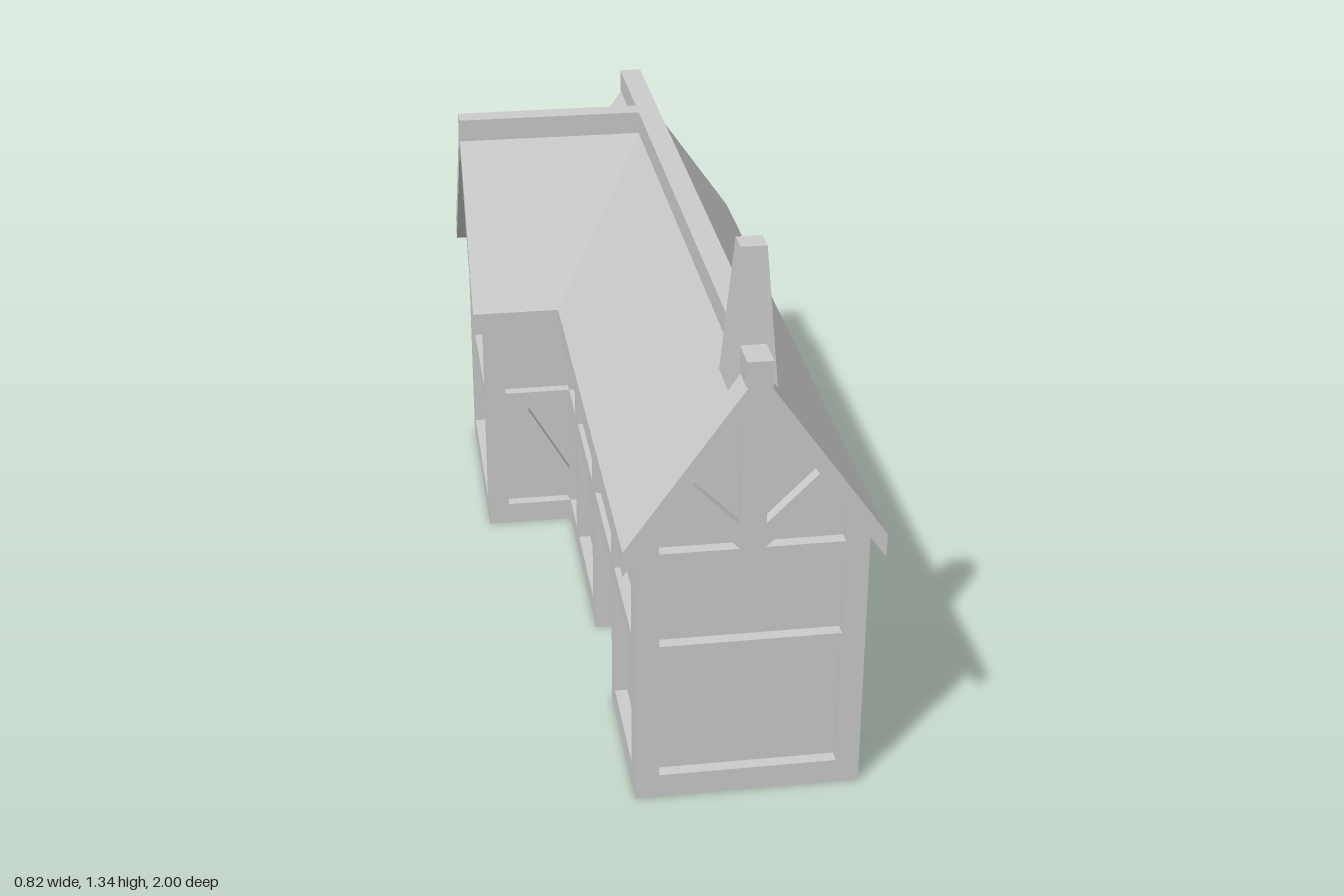
import * as THREE from 'three';
import { ConvexGeometry } from 'three/addons/geometries/ConvexGeometry.js';

const grey = new THREE.MeshStandardMaterial({ color: 0xcccccc, flatShading: true });
const BEAM = 0.055, RECESS = 0.03;      // timber thickness, depth of the infill panels
const RIDGE_X = 0.115, WING_Z = -0.65;  // ridge lines of the main roof and the wing roof
const APEX = 1.095, EAVE = 0.68, DROP = 0.06;
const FRONT = 0.968, BACK = -0.946, RIGHT = 0.38, LEFT = -0.148, WING_X = -0.38, WING_F = -0.354;
const MAIN_SLOPE = (APEX - EAVE) / 0.295, WING_SLOPE = (APEX - EAVE) / 0.35;
const LOW = [0.06, 0.36], HIGH = [0.41, 0.59];

export function createModel() {
  const model = new THREE.Group();
  const add = (name, geometry, parent = model) => {
    const mesh = new THREE.Mesh(geometry, grey);
    mesh.name = name;
    parent.add(mesh);
    return mesh;
  };
  const box = (name, x0, x1, y0, y1, z0, z1) =>
    add(name, new THREE.BoxGeometry(x1 - x0, y1 - y0, z1 - z0))
      .position.set((x0 + x1) / 2, (y0 + y1) / 2, (z0 + z1) / 2);

  const toPoints = (list) => list.map(([u, v]) => new THREE.Vector2(u, v));
  const rect = (u0, u1, [v0, v1]) => [[u0, v0], [u1, v0], [u1, v1], [u0, v1]];
  const extrude = (outline, holes, depth) => {
    const shape = new THREE.Shape(toPoints(outline));
    shape.holes = holes.map((h) => new THREE.Path(toPoints(h)));
    return new THREE.ExtrudeGeometry(shape, { depth, bevelEnabled: false });
  };

  // Timber-framed wall: drawn flat, turned about y, outer face at the given distance
  const wall = (name, turn, distance, outline, holes, braces = []) => {
    const group = new THREE.Group();
    group.name = name;
    group.rotation.y = turn;
    const inner = distance - BEAM;
    add('frame', extrude(outline, holes, BEAM), group).position.z = inner;
    braces.forEach((b) => { add('brace', extrude(b, [], BEAM), group).position.z = inner; });
    model.add(group);
  };

  // Four openings of a gable, left around a king post and two slanted struts
  const gableHoles = (c, w, slope) => {
    const under = APEX - DROP - 0.003, p = 0.029, sill = 0.65;
    const roofAt = (u) => under - slope * u;
    const meet = (start) => (under - start + p) / (1 + slope);
    const a = meet(0.71), b = meet(sill), e = w - BEAM;
    const upper = [[p, 0.71], [a, roofAt(a)], [p, roofAt(p)]];
    const lower = [[p, sill], [e, sill], [e, roofAt(e)], [b, roofAt(b)]];
    return [1, -1].flatMap((s) => [upper, lower].map((h) => h.map(([u, v]) => [c + s * u, v])));
  };
  const roofTop = (c, w, slope) => [
    [c + w, APEX - DROP - slope * w + 0.005], [c, APEX - DROP + 0.005],
    [c - w, APEX - DROP - slope * w + 0.005]];

  // Front and back gable walls
  const mw = RIGHT - RIDGE_X;
  wall('frontWall', 0, FRONT,
    [[LEFT, 0], [RIGHT, 0], ...roofTop(RIDGE_X, mw, MAIN_SLOPE)],
    [rect(-0.093, 0.325, LOW), rect(-0.093, 0.325, HIGH), ...gableHoles(RIDGE_X, mw, MAIN_SLOPE)]);
  wall('backWall', Math.PI, -BACK,
    [[-RIGHT, 0], [-WING_X, 0], [-WING_X, 0.66], ...roofTop(-RIDGE_X, mw, MAIN_SLOPE)],
    [...[LOW, HIGH].flatMap((r) => [rect(-0.325, -0.03, r), rect(0.03, 0.325, r)]),
      ...gableHoles(-RIDGE_X, mw, MAIN_SLOPE)],
    [[[0.03, 0.41], [0.07, 0.41], [0.325, 0.565], [0.325, 0.59], [0.285, 0.59], [0.03, 0.435]],
      [[0.325, 0.41], [0.325, 0.435], [0.07, 0.59], [0.03, 0.59], [0.03, 0.565], [0.285, 0.41]]]);

  // Long side walls, notched for the passage
  const both = (u0, u1) => [rect(u0, u1, LOW), rect(u0, u1, HIGH)];
  const passage = (u0, u1) => [[u0, 0], [u0, 0.36], [u1, 0.36], [u1, 0]];
  const slant = (u0, u1) => [[u0, 0.41], [u0 + 0.01, 0.41], [u1, 0.575], [u1, 0.59],
    [u1 - 0.03, 0.59], [u0, 0.438]];
  wall('rightWall', Math.PI / 2, RIGHT,
    [[-FRONT, 0], ...passage(-0.555, -0.228), [-BACK, 0], [-BACK, 0.65], [-FRONT, 0.65]],
    [...both(-0.908, -0.613), rect(-0.555, -0.228, HIGH), ...both(-0.174, 0.142),
      ...both(0.201, 0.512), ...both(0.571, 0.887)],
    [slant(-0.555, -0.228)]);
  wall('leftWall', -Math.PI / 2, -LEFT,
    [[-0.4, 0], ...passage(0.228, 0.555), [FRONT, 0], [FRONT, 0.65], [-0.4, 0.65]],
    [...both(0.613, 0.908), rect(0.228, 0.555, HIGH), ...both(-0.142, 0.174), ...both(WING_F, -0.201)],
    [slant(0.228, 0.555)]);

  // Walls on both sides of the passage
  wall('passageBackWall', 0, 0.228, rect(LEFT, RIGHT, [0, 0.41]), [rect(-0.093, 0.325, LOW)]);
  wall('passageFrontWall', Math.PI, -0.555, rect(-RIGHT, -LEFT, [0, 0.41]), [rect(-0.325, 0.093, LOW)]);

  // Side wing: gable wall and front wall
  const ww = WING_F - WING_Z;
  wall('wingGableWall', -Math.PI / 2, -WING_X,
    [[BACK, 0], [WING_F, 0], ...roofTop(WING_Z, ww, WING_SLOPE)],
    [...both(BACK + BEAM, WING_F - BEAM), ...gableHoles(WING_Z, ww, WING_SLOPE)]);
  wall('wingFrontWall', 0, WING_F, rect(WING_X, -0.1, [0, 0.66]), both(-0.325, LEFT),
    [[[-0.31, 0.36], [LEFT, 0.06], [LEFT, 0.157], [-0.266, 0.36]]]);

  // Infill panels: solid cores set back behind the timber
  const r = RECESS;
  box('frontRoomPanels', LEFT + r, RIGHT - r, r, 0.45, 0.555 + r, FRONT - r);
  box('backRoomPanels', LEFT + r, RIGHT - r, r, 0.45, BACK + r, 0.228 - r);
  box('wingPanels', WING_X + r, 0, r, 0.45, BACK + r, WING_F - r);
  const house = (c, w, slope) => [[c - w, 0.39], [c + w, 0.39], ...roofTop(c, w, slope)];
  add('upperPanels', extrude(house(RIDGE_X, mw - r, MAIN_SLOPE), [], FRONT - BACK - 2 * r))
    .position.z = BACK + r;
  const wingUpper = add('wingUpperPanels', extrude(house(WING_Z, ww - r, WING_SLOPE), [], 0.45));
  wingUpper.rotation.y = -Math.PI / 2;
  wingUpper.position.x = 0.1;

  // Roof slabs with plumb-cut edges
  const slab = (name, corners) => add(name, new ConvexGeometry(corners.flatMap(([x, y, z]) =>
    [new THREE.Vector3(x, y, z), new THREE.Vector3(x, y - DROP, z)])));
  for (const s of [1, -1]) {
    const ex = RIDGE_X + s * 0.295, ez = WING_Z + s * 0.35;
    slab(s > 0 ? 'roofRight' : 'roofLeft',
      [[ex, EAVE, 1], [ex, EAVE, -1], [RIDGE_X, APEX, 1], [RIDGE_X, APEX, -1]]);
    slab(s > 0 ? 'wingRoofFront' : 'wingRoofBack',
      [[-0.41, EAVE, ez], [-0.18, EAVE, ez], [RIDGE_X, APEX, WING_Z], [-0.41, APEX, WING_Z]]);
  }
  box('ridgeBeam', 0.086, 0.144, 1.06, 1.12, -1, 1);
  box('wingRidgeBeam', -0.41, 0.1, 1.06, 1.12, -0.68, -0.62);

  // Tapered chimney
  const chimney = add('chimney', new THREE.CylinderGeometry(0.029 * Math.SQRT2, 0.055 * Math.SQRT2, 0.325, 4));
  chimney.geometry.rotateY(Math.PI / 4);
  chimney.position.set(RIDGE_X, 1.1775, 0.868);

  return model;
}
